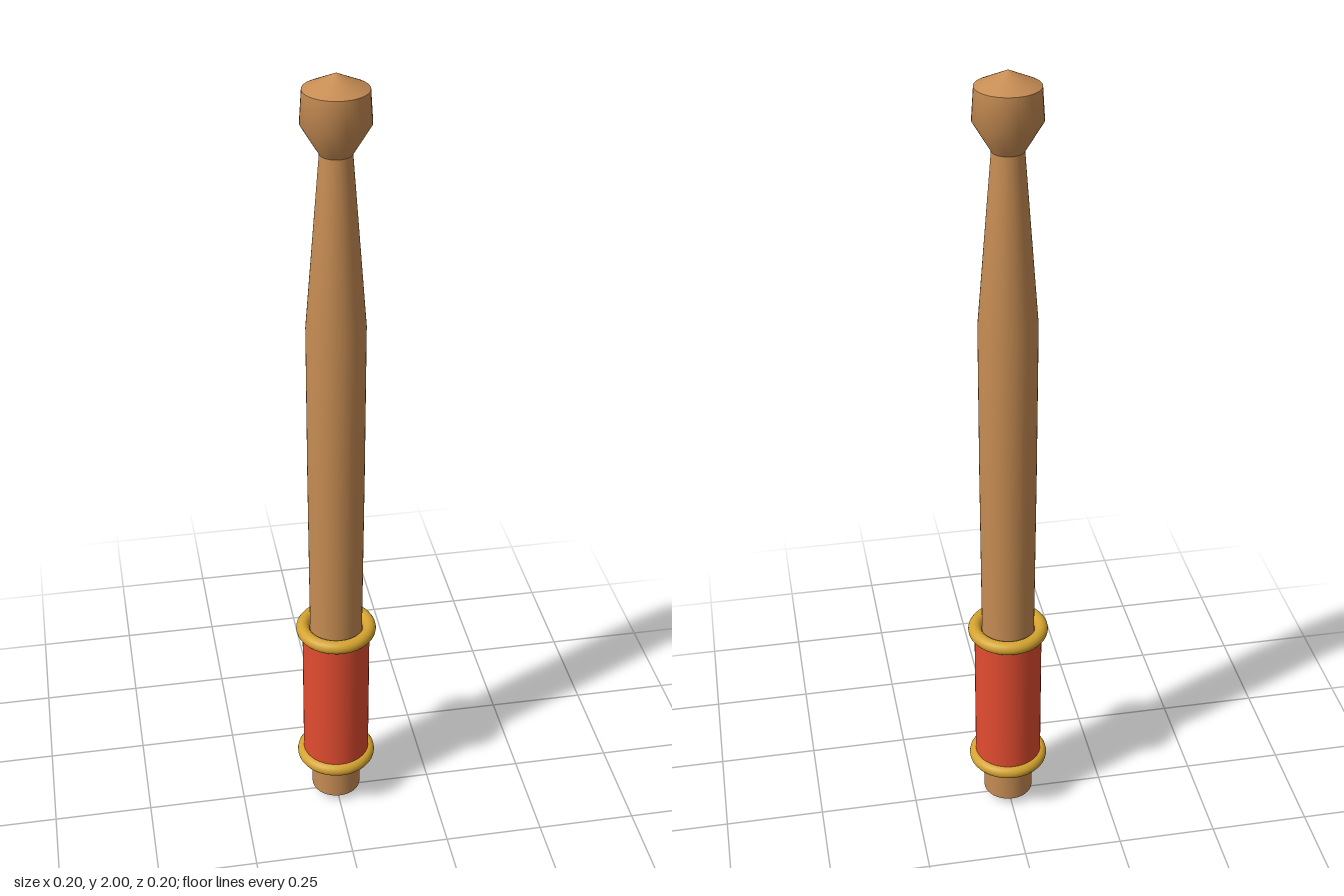
import * as THREE from 'three';

const mat = (name, color) => {
  const m = new THREE.MeshStandardMaterial({ color });
  m.name = name;
  return m;
};

export function createModel() {
  const group = new THREE.Group();
  group.name = 'baton';
  const wood = mat('wood', 0xc68c53);
  const red = mat('red wrap', 0xe34c30);
  const gold = mat('gold', 0xd4a32f);

  const add = (name, geometry, material, y = 0) => {
    const mesh = new THREE.Mesh(geometry, material);
    mesh.name = name;
    mesh.position.y = y;
    group.add(mesh);
    return mesh;
  };
  const lathe = (points) =>
    new THREE.LatheGeometry(points.map(([r, y]) => new THREE.Vector2(r, y)), 48);

  // Shaft: shallow pointed butt, slight swell, then a taper to the neck
  add('butt', lathe([[0, 0], [0.052, 0.012], [0.063, 0.022]]), wood);
  add('shaft', lathe([[0.063, 0.022], [0.064, 0.15], [0.066, 0.55], [0.069, 1.01],
    [0.07, 1.4], [0.037, 1.82]]), wood);

  // Tip: flared bead with a low conical cap
  add('tip', lathe([[0.037, 1.82], [0.079, 1.89], [0.074, 1.965]]), wood);
  add('tipCap', lathe([[0.074, 1.965], [0, 2]]), wood);

  // Grip wrap with a ring at each end
  add('grip', new THREE.CylinderGeometry(0.085, 0.085, 0.405, 48), red, 0.338);
  for (const [name, y] of [['lowerRing', 0.135], ['upperRing', 0.54]]) {
    add(name, new THREE.TorusGeometry(0.084, 0.017, 16, 48), gold, y).rotation.x = Math.PI / 2;
  }
  return group;
}
